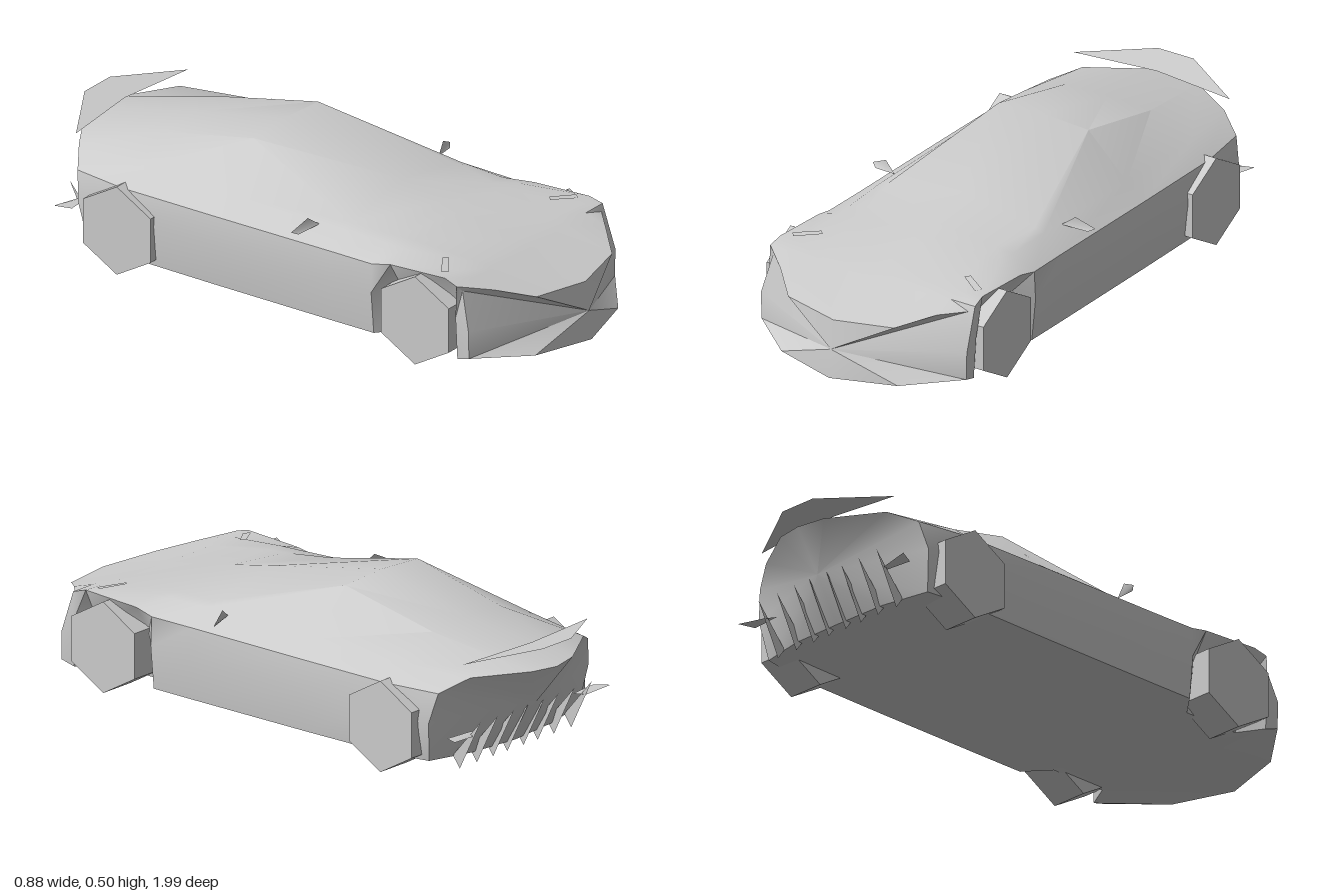
import * as THREE from 'three';
import { toCreasedNormals } from 'three/addons/utils/BufferGeometryUtils.js';

const material = new THREE.MeshStandardMaterial({ color: 0xcccccc, side: THREE.DoubleSide });

function makeMesh(name, geometry) {
  const mesh = new THREE.Mesh(geometry, material);
  mesh.name = name;
  return mesh;
}

function fromTriangles(points, index) {
  const g = new THREE.BufferGeometry();
  g.setAttribute('position', new THREE.Float32BufferAttribute(points.flat(), 3));
  g.setIndex(index);
  return toCreasedNormals(g, 0.7);
}

// Half section at one station: floor centre, floor, sill, flank, shoulder, belt, roof edge, crown
function station(z, floor, sill, flank, shoulder, belt, roof, crown) {
  return [[0, floor], [0.23, floor + 0.004], sill, flank, shoulder, belt, roof, [0, crown]]
    .map(([x, y]) => [x, y, z]);
}

function bodyGeometry() {
  const halves = [
    // Pointed nose
    [[0, 0.04, 1], [0.23, 0.05, 0.94], [0.405, 0.065, 0.8], [0.407, 0.16, 0.8],
      [0.385, 0.29, 0.76], [0.31, 0.285, 0.83], [0.21, 0.25, 0.93], [0, 0.24, 0.975]],
    station(0.75, 0.04, [0.4, 0.05], [0.41, 0.2], [0.405, 0.31], [0.31, 0.31], [0.2, 0.303], 0.3),
    // Front wheel wells
    station(0.7, 0.04, [0.31, 0.05], [0.34, 0.2], [0.4, 0.325], [0.32, 0.322], [0.22, 0.318], 0.315),
    station(0.48, 0.04, [0.31, 0.05], [0.34, 0.22], [0.4, 0.315], [0.32, 0.34], [0.25, 0.345], 0.36),
    station(0.41, 0.04, [0.395, 0.05], [0.41, 0.2], [0.405, 0.3], [0.32, 0.343], [0.26, 0.348], 0.375),
    // Cabin
    station(0.24, 0.04, [0.395, 0.05], [0.41, 0.2], [0.403, 0.3], [0.325, 0.35], [0.29, 0.362], 0.41),
    station(-0.23, 0.045, [0.395, 0.052], [0.413, 0.2], [0.403, 0.3], [0.33, 0.35], [0.178, 0.495], 0.505),
    station(-0.6, 0.05, [0.395, 0.056], [0.41, 0.2], [0.4, 0.3], [0.33, 0.35], [0.17, 0.417], 0.425),
    // Undercut tail
    [[0, 0.05, -0.81], [0.2, 0.055, -0.8], [0.37, 0.06, -0.76], [0.395, 0.2, -0.78],
      [0.37, 0.3, -0.8], [0.28, 0.345, -0.86], [0.1, 0.345, -0.97], [0, 0.342, -0.99]],
  ];
  const points = halves.flatMap(h => [...h, ...h.slice(1, 7).reverse().map(([x, y, z]) => [-x, y, z])]);
  const n = 14, last = (halves.length - 1) * n, index = [];
  points.push([0, 0.14, 0.99], [0, 0.2, -0.9]);
  const front = points.length - 2, rear = points.length - 1;
  for (let j = 0; j < n; j++) {
    const k = (j + 1) % n;
    index.push(front, j, k, rear, last + k, last + j);
    for (let r = 0; r < last; r += n) {
      index.push(r + j, r + n + j, r + n + k, r + j, r + n + k, r + k);
    }
  }
  return fromTriangles(points, index);
}

export function createModel() {
  const car = new THREE.Group();
  car.name = 'car';
  car.add(makeMesh('body', bodyGeometry()));

  // Rear wing: thin plate swept back to the centre
  car.add(makeMesh('rearWing', fromTriangles(
    [[-0.31, 0.395, -0.85], [0, 0.4, -0.88], [0.31, 0.395, -0.85],
      [0.07, 0.42, -0.99], [-0.07, 0.42, -0.99]],
    [0, 1, 4, 1, 3, 4, 1, 2, 3])));

  // Six-sided wheels
  const wheelGeometry = toCreasedNormals(new THREE.CylinderGeometry(0.157, 0.157, 0.135, 6), 0.5);
  wheelGeometry.rotateZ(Math.PI / 2);
  // Put a corner of the hexagon at the top
  wheelGeometry.rotateX(Math.PI / 2);
  wheelGeometry.computeBoundingBox();
  if (wheelGeometry.boundingBox.max.y < 0.15) wheelGeometry.rotateX(Math.PI / 6);

  for (const side of [1, -1]) {
    const sideName = side > 0 ? 'left' : 'right';
    const blade = (name, pts) => car.add(makeMesh(sideName + name, fromTriangles(
      pts.map(([x, y, z]) => [x * side, y, z]), [0, 1, 2, 0, 2, 3])));

    for (const z of [0.6, -0.6]) {
      const wheel = makeMesh(sideName + (z > 0 ? 'FrontWheel' : 'RearWheel'), wheelGeometry);
      wheel.position.set(0.361 * side, 0.157, z);
      car.add(wheel);
    }

    // Door mirror, headlamp and rear bumper blades
    blade('Mirror', [[0.33, 0.345, 0.145], [0.375, 0.378, 0.13], [0.44, 0.345, 0.11], [0.42, 0.335, 0.125]]);
    blade('Headlamp', [[0.28, 0.336, 0.63], [0.295, 0.338, 0.615], [0.375, 0.33, 0.665], [0.36, 0.328, 0.685]]);
    blade('BumperBlade', [[0.25, 0.15, -0.84], [0.36, 0.15, -0.83], [0.385, 0.155, -0.885], [0.28, 0.145, -0.87]]);

    // Diffuser fins under the tail
    for (const x of [0.04, 0.11, 0.19, 0.275]) {
      car.add(makeMesh(sideName + 'DiffuserFin', fromTriangles(
        [[x * side, 0.2, -0.9], [x * side, 0.02, -0.81], [x * side, 0.06, -0.78]], [0, 1, 2])));
    }
  }
  return car;
}
